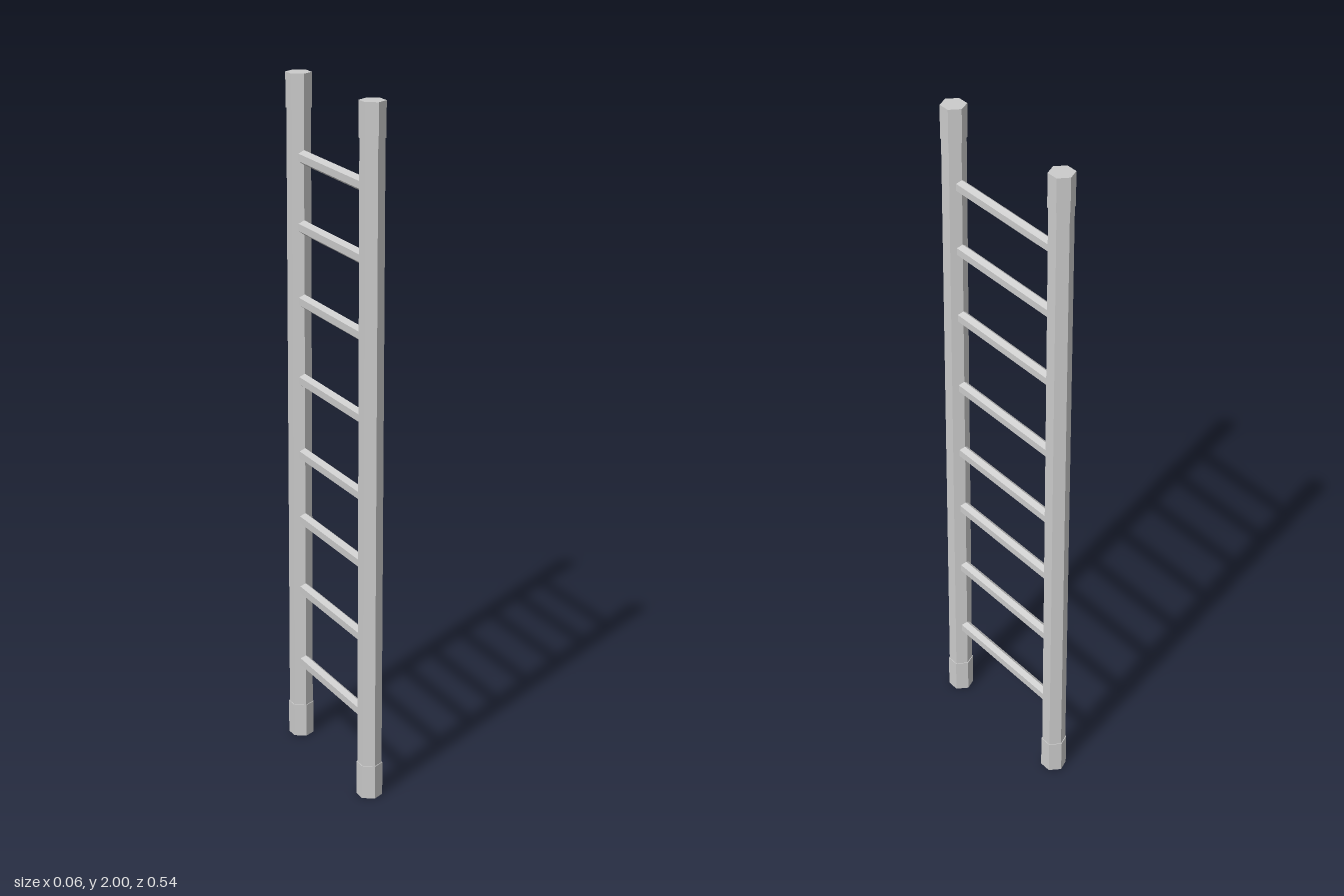
import * as THREE from 'three';

const HEIGHT = 2;
const RAIL_Z = 0.232;
const CAP_HEIGHT = 0.1;
const CAP_RADIUS = 0.037;
const SHAFT_RADIUS = 0.0345;
const RUNG_HEIGHTS = [0.24, 0.47, 0.69, 0.89, 1.115, 1.35, 1.565, 1.765];

export function createModel() {
  const ladder = new THREE.Group();
  ladder.name = 'ladder';
  const material = new THREE.MeshStandardMaterial({ color: 0xcccccc, flatShading: true });

  const add = (parent, name, geometry, y) => {
    const mesh = new THREE.Mesh(geometry, material);
    mesh.name = name;
    mesh.position.y = y;
    parent.add(mesh);
    return mesh;
  };

  // Hexagonal side rails, each with a slightly wider sleeve at both ends
  const shaft = new THREE.CylinderGeometry(SHAFT_RADIUS, SHAFT_RADIUS, HEIGHT - 2 * CAP_HEIGHT, 6, 1, true);
  const sleeve = new THREE.CylinderGeometry(CAP_RADIUS, CAP_RADIUS, CAP_HEIGHT, 6);
  for (const side of [1, -1]) {
    const rail = new THREE.Group();
    rail.name = side > 0 ? 'frontRail' : 'backRail';
    rail.position.z = side * RAIL_Z;
    add(rail, 'railShaft', shaft, HEIGHT / 2);
    add(rail, 'bottomSleeve', sleeve, CAP_HEIGHT / 2);
    add(rail, 'topSleeve', sleeve, HEIGHT - CAP_HEIGHT / 2);
    ladder.add(rail);
  }

  // Narrow hexagonal rungs, ridge upwards, with their ends hidden in the rails
  const rung = new THREE.CylinderGeometry(0.021, 0.021, 2 * RAIL_Z, 6);
  rung.rotateX(Math.PI / 2);
  rung.scale(0.76, 1, 1);
  RUNG_HEIGHTS.forEach((y, i) => add(ladder, `rung${i + 1}`, rung, y));

  return ladder;
}
